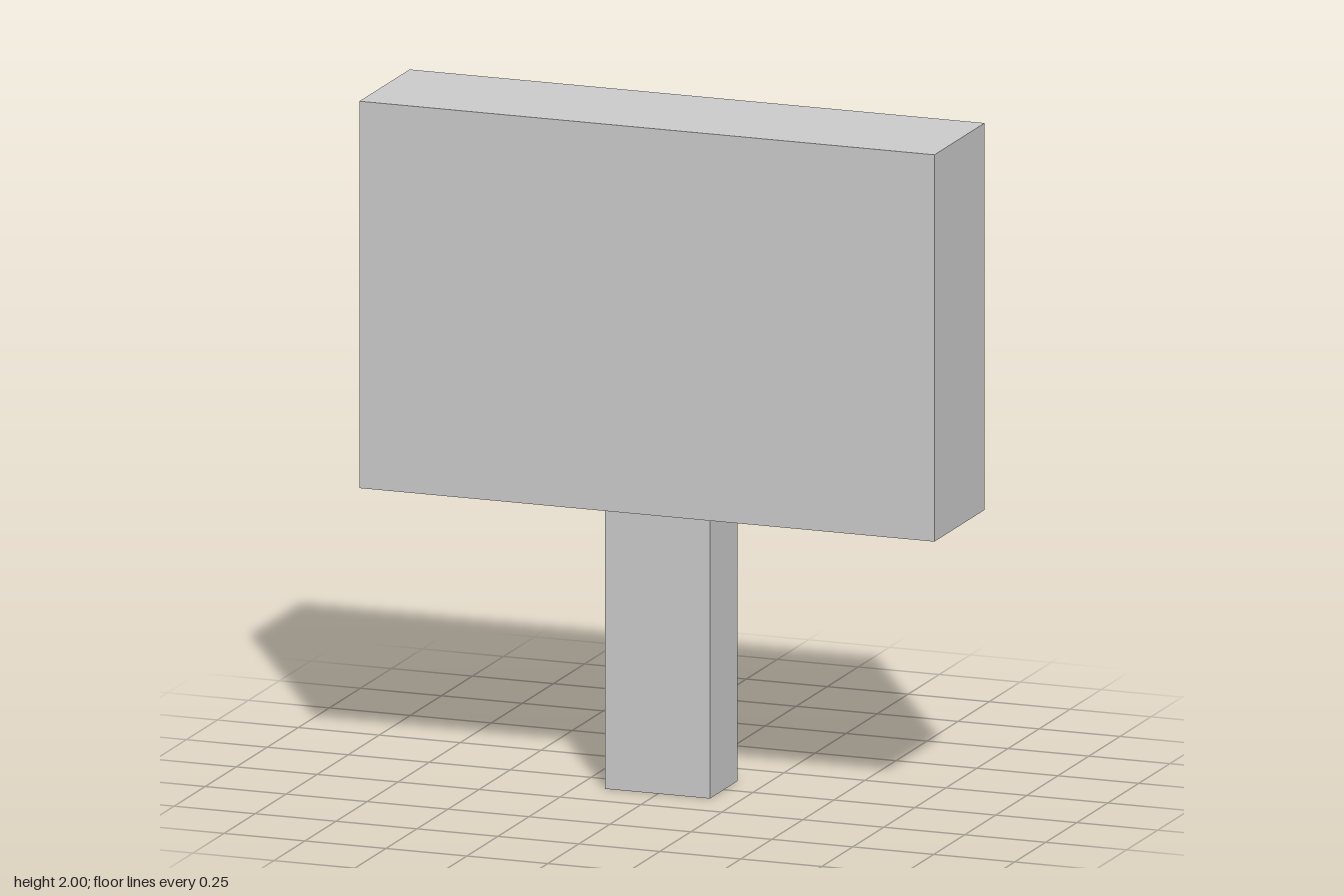
import * as THREE from 'three';

const material = new THREE.MeshStandardMaterial({ color: 0xcccccc, flatShading: true });

// Box standing on height y
function block(name, width, height, depth, y) {
  const mesh = new THREE.Mesh(new THREE.BoxGeometry(width, height, depth), material);
  mesh.name = name;
  mesh.position.y = y + height / 2;
  return mesh;
}

export function createModel() {
  const model = new THREE.Group();
  model.name = 'signboard';

  const postHeight = 0.85;
  // Upright post
  const post = block('post', 0.324, postHeight, 0.224, 0);
  post.position.x = -0.002;
  // Wide board resting on the post
  const board = block('board', 1.776, 2 - postHeight, 0.404, postHeight);

  model.add(post, board);
  return model;
}
